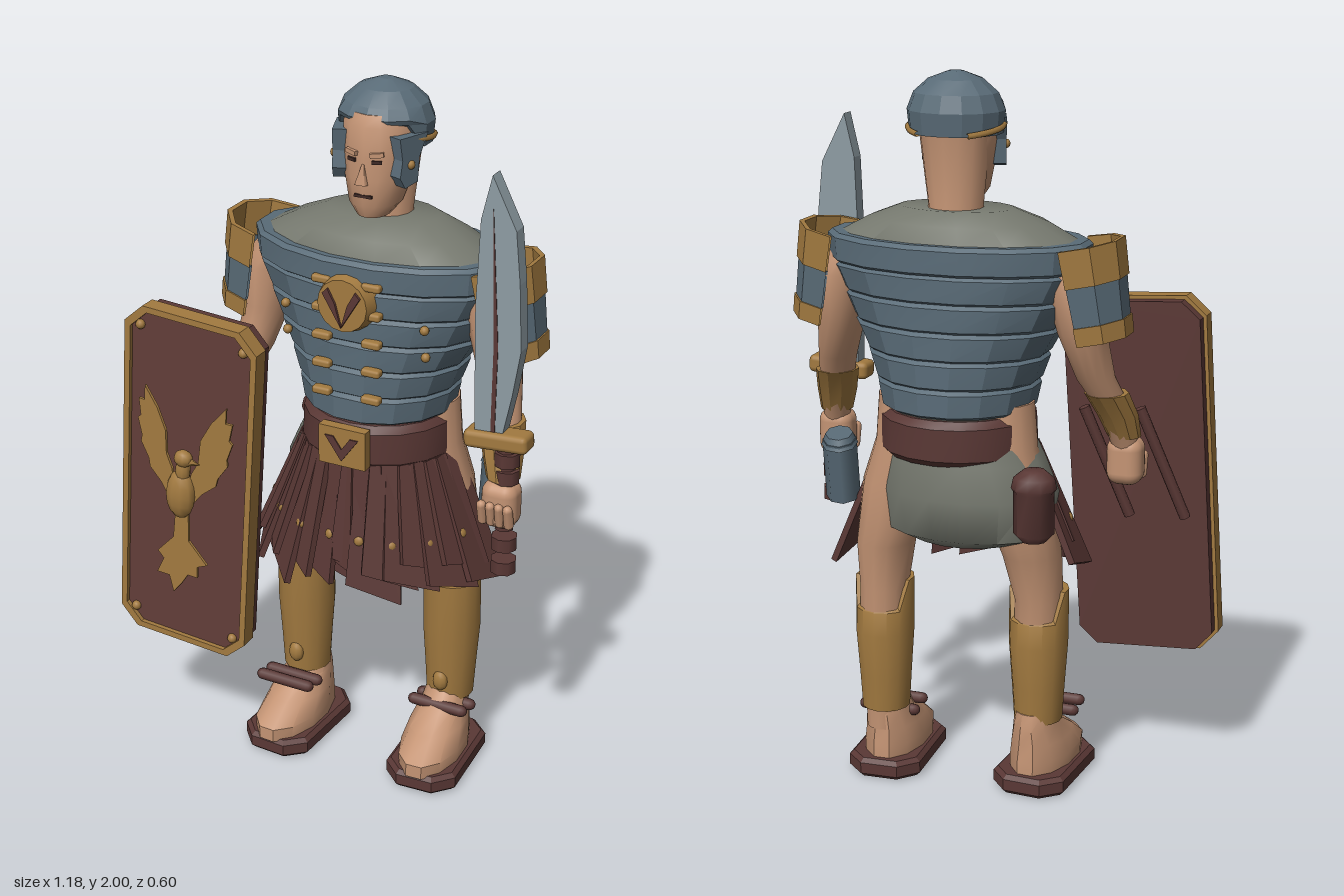
import * as THREE from 'three';
import { toCreasedNormals } from 'three/addons/utils/BufferGeometryUtils.js';
import { RoundedBoxGeometry } from 'three/addons/geometries/RoundedBoxGeometry.js';

const mat = (name, color, side = THREE.FrontSide) => new THREE.MeshStandardMaterial({ name, color, side });
const M = {
  skin: mat('skin', 0xc49474),
  steel: mat('blue steel', 0x596b77, THREE.DoubleSide),
  gold: mat('brass', 0xa27a40, THREE.DoubleSide),
  leather: mat('leather', 0x5a3835),
  face: mat('shield paint', 0x623e39),
  cloth: mat('grey cloth', 0x75786e),
  blade: mat('blade metal', 0x8e9ca3),
  dark: mat('dark line', 0x3d2824),
};

function add(parent, name, geo, material, pos = [0, 0, 0], rot = [0, 0, 0]) {
  const m = new THREE.Mesh(geo, material);
  m.name = name;
  m.position.set(...pos);
  m.rotation.set(...rot);
  parent.add(m);
  return m;
}
function group(parent, name, pos = [0, 0, 0]) {
  const g = new THREE.Group();
  g.name = name;
  g.position.set(...pos);
  parent.add(g);
  return g;
}

// Closed solid through elliptical rings [x, y, z, rx, rz], listed from bottom to top
function loft(rings, n = 14, crease = 0.9, tweak = null) {
  const p = [], idx = [];
  for (const [x, y, z, rx, rz] of rings)
    for (let j = 0; j < n; j++) {
      const a = (j + 0.5) / n * Math.PI * 2;
      const v = new THREE.Vector3(x + rx * Math.cos(a), y, z + rz * Math.sin(a));
      if (tweak) tweak(v, a);
      p.push(v.x, v.y, v.z);
    }
  const last = rings.length - 1;
  p.push(...rings[0].slice(0, 3), ...rings[last].slice(0, 3));
  const c0 = rings.length * n, c1 = c0 + 1;
  for (let j = 0; j < n; j++) {
    const k = (j + 1) % n;
    for (let i = 0; i < last; i++) {
      const a = i * n + j, b = i * n + k;
      idx.push(a, a + n, b, b, a + n, b + n);
    }
    idx.push(c0, j, k, c1, last * n + k, last * n + j);
  }
  const g = new THREE.BufferGeometry();
  g.setAttribute('position', new THREE.Float32BufferAttribute(p, 3));
  g.setIndex(idx);
  return toCreasedNormals(g, crease);
}
const shapeOf = pts => new THREE.Shape(pts.map(q => new THREE.Vector2(...q)));
function plate(pts, depth, hole) {
  const s = shapeOf(pts);
  if (hole) s.holes.push(shapeOf(hole));
  return new THREE.ExtrudeGeometry(s, { depth, bevelEnabled: false });
}
const octagon = (w, h, c) => [[-w + c, -h], [w - c, -h], [w, -h + c], [w, h - c], [w - c, h], [-w + c, h], [-w, h - c], [-w, -h + c]];
const box = (w, h, d) => new THREE.BoxGeometry(w, h, d);
function ball(parent, name, material, pos, r) {
  add(parent, name, new THREE.SphereGeometry(1, 10, 8), material, pos).scale.set(...r);
}

function buildHead(f) {
  const g = group(f, 'head');
  add(g, 'neck', loft([[0, 1.58, -0.11, 0.09, 0.085], [0, 1.65, -0.11, 0.074, 0.073], [0, 1.84, -0.115, 0.095, 0.088]]), M.skin);
  add(g, 'face', loft([[0, 1.655, -0.035, 0.042, 0.048], [0, 1.69, -0.05, 0.07, 0.078], [0, 1.76, -0.07, 0.09, 0.1],
    [0, 1.82, -0.08, 0.1, 0.107], [0, 1.9, -0.08, 0.1, 0.105], [0, 1.93, -0.085, 0.085, 0.095]]), M.skin);
  add(g, 'nose', new THREE.ConeGeometry(0.02, 0.07, 4), M.skin, [0, 1.785, 0.028], [-0.2, Math.PI / 4, 0]);
  add(g, 'mouth', box(0.05, 0.008, 0.008), M.dark, [0, 1.718, 0.026]);
  for (const s of [-1, 1]) {
    add(g, 'eye', box(0.026, 0.009, 0.008), M.dark, [s * 0.036, 1.812, 0.02], [0, s * 0.35, 0]);
    add(g, 'brow', box(0.036, 0.012, 0.014), M.skin, [s * 0.036, 1.832, 0.02], [0, s * 0.35, s * 0.1]);
    // Cheek guard hanging from the helmet, turned to follow the jaw
    const cheek = plate([[-0.03, 1.88], [0.07, 1.88], [0.06, 1.82], [0.068, 1.775], [0.05, 1.745], [0.005, 1.755], [0, 1.82]], 0.04);
    const hinge = group(g, 'cheek hinge', [s * 0.103, 0, -0.06]);
    hinge.rotation.y = -s * 0.35;
    add(hinge, 'cheek guard', cheek, M.steel, [0.02, 0, 0], [0, -Math.PI / 2, 0]);
    ball(hinge, 'cheek rivet', M.gold, [s * 0.02, 1.805, 0.03], [0.01, 0.012, 0.012]);
    // Brass edging over the ear
    const arc = [];
    for (let i = 0; i <= 6; i++) {
      const a = 0.6 - i / 6 * 1.6;
      arc.push(new THREE.Vector3(s * 0.128 * Math.cos(a), 1.868 - i * 0.004, -0.105 + 0.118 * Math.sin(a)));
    }
    add(g, 'helmet trim', new THREE.TubeGeometry(new THREE.CatmullRomCurve3(arc), 12, 0.008, 5), M.gold);
  }
  const dome = [[1.84, 0.126], [1.9, 0.132], [1.945, 0.114], [1.98, 0.074], [2, 0.02]].map(([y, r]) => [0, y, -0.105, r, r * 0.9]);
  add(g, 'helmet', loft(dome, 14, 0.3, (v, a) => {
    if (v.y < 1.91 && Math.sin(a) > 0.55) v.y = v.y < 1.89 ? 1.905 : 1.918;
  }), M.steel);
}

function buildTorso(f) {
  const g = group(f, 'torso');
  add(g, 'tunic', loft([[0, 1.06, -0.09, 0.19, 0.18], [0, 1.2, -0.09, 0.2, 0.185], [0, 1.4, -0.09, 0.28, 0.185],
    [0, 1.565, -0.09, 0.335, 0.185], [0, 1.61, -0.09, 0.25, 0.15], [0, 1.645, -0.1, 0.16, 0.1]], 16), M.cloth);
  // Overlapping armour hoops
  const half = [0.2, 0.217, 0.243, 0.28, 0.315, 0.352, 0.36];
  for (let i = 0; i < 6; i++) {
    const y = 1.105 + i * 0.077, a = half[i], b = half[i + 1], z = i === 5 ? 0.207 : 0.198;
    add(g, 'armour hoop', loft([[0, y, -0.09, a + 0.004, z - 0.008], [0, y + 0.008, -0.09, a + 0.013, z + 0.006],
      [0, y + 0.068, -0.09, b + 0.01, z + 0.005], [0, y + 0.079, -0.09, b - 0.002, z - 0.008]], 16, 0.3), M.steel);
  }
  for (let i = 0; i < 5; i++)
    for (const s of [-1, 1]) {
      const y = 1.19 + i * 0.08;
      add(g, 'clasp', new RoundedBoxGeometry(0.055, 0.022, 0.03, 2, 0.008), M.gold, [s * 0.073, y, 0.115]);
      if (i > 0 && i < 3) ball(g, 'hoop rivet', M.gold, [s * 0.205, y + 0.05, 0.055 + i * 0.01], [0.013, 0.013, 0.013]);
    }
  // Chest medallion
  add(g, 'medallion', new THREE.CylinderGeometry(0.072, 0.084, 0.045, 16), M.gold, [0, 1.455, 0.122], [Math.PI / 2, 0, 0]);
  for (const s of [-1, 1])
    add(g, 'medallion leaf', plate([[0, -0.06], [s * 0.055, 0.03], [s * 0.04, 0.045], [s * 0.018, 0.005]], 0.008), M.leather, [0, 1.455, 0.144]);
}

function buildWaist(f) {
  const g = group(f, 'waist');
  add(g, 'loincloth', loft([[-0.03, 0.735, -0.12, 0.15, 0.11], [-0.035, 0.765, -0.12, 0.235, 0.155], [-0.035, 0.88, -0.115, 0.255, 0.178],
    [-0.02, 0.97, -0.1, 0.225, 0.178], [0, 1.08, -0.1, 0.19, 0.16]], 16), M.cloth);
  add(g, 'belt', loft([[0, 0.975, -0.09, 0.2, 0.19], [0, 0.992, -0.09, 0.218, 0.206], [0, 1.08, -0.09, 0.214, 0.206],
    [0, 1.1, -0.09, 0.198, 0.19]], 18, 0.5), M.leather);
  add(g, 'buckle', box(0.14, 0.112, 0.03), M.gold, [-0.005, 1.04, 0.12]);
  add(g, 'buckle inlay', plate([[-0.05, 0.03], [0, -0.04], [0.05, 0.03], [0.025, 0.03], [0, -0.005], [-0.025, 0.03]], 0.006), M.leather, [-0.005, 1.04, 0.133]);
  // Two layers of leather strips across the front and sides
  for (const layer of [0, 1]) {
    const count = 9 - layer, len = 0.37 - layer * 0.05;
    for (let i = 0; i < count; i++) {
      const a = (i / (count - 1) - 0.5) * (2.9 - layer * 0.35);
      const rx = 0.2, rz = 0.165 + layer * 0.015;
      const strip = group(g, 'skirt strip', [rx * Math.sin(a), 0.985, -0.09 + rz * Math.cos(a)]);
      strip.rotation.set(-0.04 - 0.36 * Math.abs(Math.sin(a)), a, 0, 'YXZ');
      const drop = len + (i % 3) * 0.018;
      add(strip, 'leather strip', plate([[-0.055, 0], [-0.082, -drop + 0.05], [0.074, -drop], [0.055, 0]], 0.018), M.leather);
      if (layer) ball(strip, 'strip stud', M.gold, [0, -0.225, 0.02], [0.015, 0.015, 0.01]);
    }
  }
  // Pouch behind the right hip and case on the left hip
  const pouch = group(g, 'pouch', [-0.27, 0.885, -0.25]);
  add(pouch, 'pouch body', loft([[0, -0.095, 0, 0.035, 0.035], [0, -0.075, 0, 0.055, 0.05], [0, 0.04, 0, 0.055, 0.05],
    [0, 0.05, 0, 0.062, 0.055], [0, 0.08, 0, 0.055, 0.05], [0, 0.1, 0, 0.03, 0.03]], 10), M.leather);
  const holder = group(g, 'hip case', [0.345, 0.893, -0.115]);
  holder.rotation.set(-0.12, 0.4, 0);
  add(holder, 'case body', new THREE.CylinderGeometry(0.068, 0.068, 0.17, 8), M.steel).scale.x = 0.7;
  add(holder, 'case lid', new THREE.CylinderGeometry(0.055, 0.073, 0.03, 8), M.steel, [0, 0.086, 0]).scale.x = 0.7;
}

function buildLeg(f, s) {
  const g = group(f, s > 0 ? 'left leg' : 'right leg');
  const z = s > 0 ? -0.115 : -0.06, x = s * 0.22;
  add(g, 'leg', loft([[x, 0.14, z, 0.055, 0.06], [x, 0.25, z, 0.058, 0.062], [x, 0.42, z - 0.005, 0.07, 0.078], [x, 0.56, z, 0.068, 0.075],
    [s * 0.21, 0.7, (z - 0.12) / 2, 0.082, 0.095], [s * 0.165, 0.88, -0.115, 0.105, 0.108], [s * 0.145, 1.0, -0.115, 0.085, 0.095],
    [s * 0.14, 1.13, -0.115, 0.08, 0.09]]), M.skin);
  add(g, 'greave', loft([[x, 0.2, z, 0.068, 0.07], [x, 0.3, z, 0.074, 0.076], [x, 0.43, z, 0.083, 0.086], [x, 0.585, z + 0.005, 0.083, 0.085]],
    14, 0.7, (v, a) => { if (v.y > 0.5 && Math.sin(a) < -0.3) v.y = 0.5; }), M.gold);
  ball(g, 'greave boss', M.gold, [x, 0.265, z + 0.07], [0.023, 0.032, 0.018]);
  const foot = group(g, 'foot', [x, 0, s > 0 ? -0.03 : 0]);
  foot.rotation.y = s * 0.06;
  const sole = new THREE.ExtrudeGeometry(shapeOf(octagon(0.094, 0.162, 0.045)),
    { depth: 0.032, bevelThickness: 0.012, bevelSize: 0.012, bevelSegments: 1 });
  add(foot, 'sole', sole, M.leather, [0, 0.044, 0], [Math.PI / 2, 0, 0]);
  add(foot, 'bare foot', loft([[0, 0.05, 0.015, 0.088, 0.168], [0, 0.09, 0.015, 0.09, 0.168], [0, 0.14, -0.02, 0.08, 0.125],
    [0, 0.185, -0.06, 0.064, 0.085], [0, 0.23, -0.075, 0.055, 0.06]], 12, 0.6), M.skin);
  // Sandal straps across the front of the ankle
  for (const [dz, y] of s > 0 ? [[-0.09, 0.178], [-0.03, 0.19]] : [[0.025, 0.195], [0.08, 0.205]])
    add(g, 'sandal strap', new THREE.CapsuleGeometry(0.017, 0.15, 3, 8), M.leather, [x, y, dz], [0, 0, Math.PI / 2]);
}

function buildArm(f, s) {
  const g = group(f, s > 0 ? 'left arm' : 'right arm');
  add(g, 'arm', loft([[s * 0.43, 0.98, 0.05, 0.036, 0.036], [s * 0.415, 1.08, 0.02, 0.046, 0.048], [s * 0.375, 1.2, -0.055, 0.052, 0.064],
    [s * 0.345, 1.33, -0.085, 0.065, 0.085], [s * 0.335, 1.45, -0.09, 0.09, 0.1], [s * 0.28, 1.54, -0.09, 0.06, 0.07]]), M.skin);
  add(g, 'bracer', loft([[s * 0.428, 1.015, 0.045, 0.046, 0.045], [s * 0.415, 1.08, 0.022, 0.056, 0.057], [s * 0.395, 1.15, -0.02, 0.06, 0.066]], 10, 0.4), M.gold);
  add(g, 'fist', new RoundedBoxGeometry(0.1, 0.135, 0.09, 3, 0.035), M.skin, [s * 0.43, 0.945, 0.055]);
  for (let i = 0; i < 4; i++)
    add(g, 'finger', new THREE.CapsuleGeometry(0.014, 0.05, 3, 7), M.skin, [s * (0.392 + i * 0.025), 0.925, 0.095], [0.25, 0, 0]);
  // Banded shoulder guard, open towards the body
  const guard = group(g, 'shoulder guard', [s * 0.357, 1.435, -0.085]);
  guard.rotation.z = s * 0.18;
  for (const [y0, y1, r0, r1, m] of [[-0.125, -0.075, 0.105, 0.109, M.gold], [-0.075, 0.03, 0.104, 0.112, M.steel], [0.03, 0.13, 0.117, 0.123, M.gold]]) {
    const pts = [[r0 - 0.014, y0], [r0, y0], [r1, y1], [r1 - 0.014, y1], [r0 - 0.014, y0]].map(q => new THREE.Vector2(...q));
    const band = new THREE.LatheGeometry(pts, 5, s * Math.PI / 2 - 1.7, 3.4);
    add(guard, 'guard band', toCreasedNormals(band, 0.3), m).scale.z = 1.07;
  }
}

function buildSword(root) {
  const g = group(root, 'sword');
  const edge = [[0.438, 1.15], [0.516, 1.15], [0.54, 1.27], [0.56, 1.4], [0.55, 1.58], [0.535, 1.72], [0.466, 1.855], [0.438, 1.735], [0.43, 1.5]];
  add(g, 'blade', plate(edge, 0.044), M.blade, [0, 0, 0.04]);
  add(g, 'blade groove', plate([[0.484, 1.16], [0.496, 1.16], [0.497, 1.4], [0.472, 1.77], [0.485, 1.4]], 0.006), M.leather, [0, 0, 0.08]);
  add(g, 'guard', new RoundedBoxGeometry(0.18, 0.05, 0.07, 2, 0.015), M.gold, [0.5, 1.135, 0.065], [0, 0, 0.07]);
  add(g, 'grip', new THREE.CylinderGeometry(0.026, 0.026, 0.24, 8), M.leather, [0.52, 0.99, 0.055]);
  for (const y of [1.08, 1.03, 0.83, 0.76])
    add(g, 'grip ring', new THREE.CylinderGeometry(0.036, 0.036, 0.038, 8), M.leather, [0.522, y, 0.055]);
}

function buildShield(root) {
  const g = group(root, 'shield', [-0.357, 0.865, 0]);
  g.rotation.z = -0.065;
  add(g, 'shield board', plate(octagon(0.195, 0.5, 0.05), 0.045), M.leather, [0, 0, 0.155]);
  add(g, 'shield face', plate(octagon(0.19, 0.495, 0.05), 0.028), M.face, [0, 0, 0.199]);
  add(g, 'shield rim', plate(octagon(0.205, 0.51, 0.055), 0.05, octagon(0.187, 0.492, 0.05)), M.gold, [0, 0, 0.19]);
  for (const sx of [-1, 1])
    for (const sy of [-1, 1]) ball(g, 'corner stud', M.gold, [sx * 0.16, sy * 0.45, 0.23], [0.014, 0.014, 0.014]);
  // Spread-winged bird ornament
  const bird = group(g, 'bird ornament', [0, -0.02, 0.25]);
  for (const s of [-1, 1]) {
    const wing = plate([[0.015, 0], [0.03, 0.08], [0.05, 0.12], [0.055, 0.19], [0.085, 0.25], [0.128, 0.305], [0.128, 0.26], [0.148, 0.26],
      [0.14, 0.21], [0.15, 0.2], [0.135, 0.15], [0.138, 0.13], [0.11, 0.085], [0.105, 0.06], [0.065, 0.025], [0.04, -0.01]].map(([x, y]) => [s * x, y]), 0.008);
    add(bird, 'wing', wing, M.gold, [0, 0, 0.01], [0, s * 0.1, 0]);
  }
  add(bird, 'tail', plate([[-0.02, -0.04], [0.02, -0.04], [0.025, -0.14], [0.085, -0.2], [0.055, -0.215], [0.055, -0.25], [0.025, -0.25],
    [0.005, -0.285], [-0.02, -0.32], [-0.035, -0.27], [-0.075, -0.27], [-0.055, -0.22], [-0.075, -0.2], [-0.025, -0.14]], 0.008), M.gold);
  ball(bird, 'bird body', M.gold, [0, 0.01, 0.015], [0.045, 0.075, 0.032]);
  ball(bird, 'bird neck', M.gold, [0.005, 0.085, 0.015], [0.022, 0.045, 0.02]);
  ball(bird, 'bird head', M.gold, [0.008, 0.125, 0.02], [0.028, 0.025, 0.022]);
  add(bird, 'beak', new THREE.ConeGeometry(0.014, 0.04, 5), M.gold, [0.042, 0.12, 0.02], [0, 0, -Math.PI / 2]);
  // Slanted carrying bars behind the board
  for (const x of [-0.09, 0.07])
    add(g, 'carrying bar', new THREE.CylinderGeometry(0.016, 0.016, 0.34, 7), M.leather, [x, 0.06, 0.1], [-0.15, 0, -0.3]);
}

export function createModel() {
  const root = new THREE.Group();
  root.name = 'armoured soldier';
  const figure = group(root, 'figure', [0.08, 0, 0]);
  buildHead(figure);
  buildTorso(figure);
  buildWaist(figure);
  for (const s of [-1, 1]) {
    buildLeg(figure, s);
    buildArm(figure, s);
  }
  buildSword(root);
  buildShield(root);
  return root;
}
